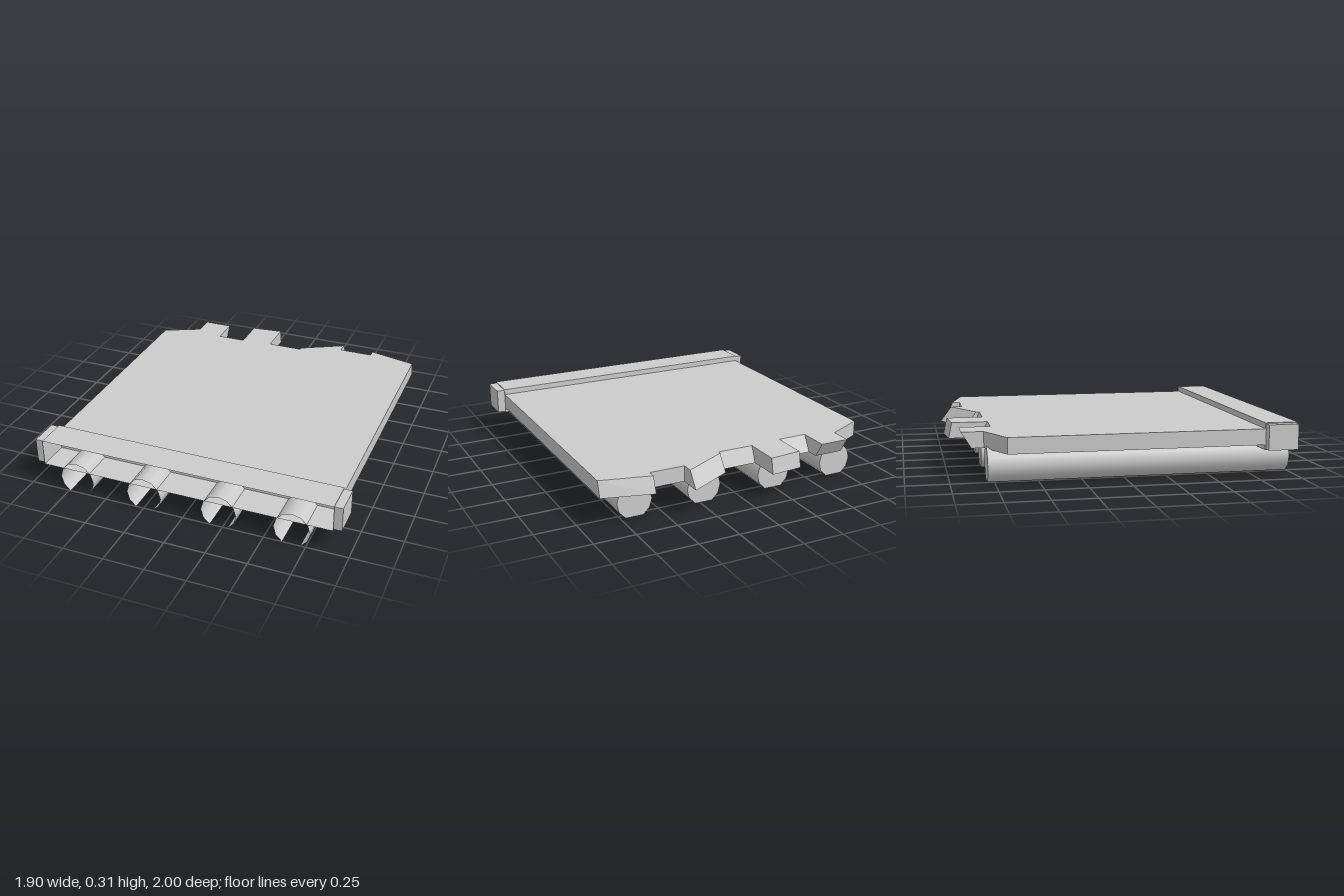
import * as THREE from 'three';

const grey = new THREE.MeshStandardMaterial({ color: 0xcccccc, side: THREE.DoubleSide });
const flat = new THREE.MeshStandardMaterial({ color: 0xcccccc, flatShading: true, side: THREE.DoubleSide });

function add(parent, name, geometry, material, x = 0, y = 0, z = 0) {
  const mesh = new THREE.Mesh(geometry, material);
  mesh.name = name;
  mesh.position.set(x, y, z);
  parent.add(mesh);
  return mesh;
}

// Deck with a broken back edge; each corner is [x, z at the top, z at the bottom]
function deckGeometry(bottom, top) {
  const corners = [
    [-0.9, 0.81, 0.81], [-0.9, -0.69, -0.69], [-0.67, -0.8, -0.8],
    [-0.67, -0.93, -0.87], [-0.49, -0.93, -0.87],
    [-0.49, -0.745, -0.8], [-0.31, -0.745, -0.8],
    [-0.31, -0.96, -0.98], [-0.11, -0.98, -1],
    [-0.11, -0.76, -0.8], [0.115, -0.76, -0.8],
    [0.115, -0.78, -0.85], [0.385, -0.925, -0.995],
    [0.385, -0.855, -0.855], [0.6, -0.855, -0.855],
    [0.6, -0.905, -0.94], [0.9, -0.83, -0.86], [0.9, 0.81, 0.81],
  ];
  const shape = new THREE.Shape(corners.map(([x, z]) => new THREE.Vector2(x, -z)));
  const g = new THREE.ExtrudeGeometry(shape, { depth: top - bottom, bevelEnabled: false });
  g.rotateX(-Math.PI / 2).translate(0, bottom, 0);
  // Slant the break by moving the lower corners
  const p = g.attributes.position;
  for (let i = 0; i < p.count; i++) {
    if (p.getY(i) > bottom + 0.01) continue;
    const c = corners.find(([x, z]) => Math.abs(x - p.getX(i)) < 1e-4 && Math.abs(z - p.getZ(i)) < 1e-4);
    if (c) p.setZ(i, c[2]);
  }
  g.computeVertexNormals();
  return g;
}

// Box without its +z face
function openBox(w, h, d) {
  const g = new THREE.BoxGeometry(w, h, d);
  const index = Array.from(g.index.array);
  index.splice(24, 6);
  g.setIndex(index);
  g.clearGroups();
  return g;
}

export function createModel() {
  const model = new THREE.Group();
  model.name = 'brokenDeck';

  add(model, 'deck', deckGeometry(0.185, 0.28), flat);

  // Hollow front beam with an end block on each side
  add(model, 'frontBeam', openBox(1.8, 0.16, 0.195), flat, 0, 0.235, 0.9025);
  for (const side of [-1, 1]) {
    add(model, 'beamEnd', new THREE.BoxGeometry(0.05, 0.15, 0.18), flat, side * 0.925, 0.235, 0.9);
  }

  // Log shells: open below and at the front, closed at the back
  const r = 0.108, length = 1.79, step = Math.PI / 6;
  const shell = new THREE.CylinderGeometry(r, r, length, 10, 1, true, step, 10 * step);
  shell.rotateX(Math.PI / 2);
  const rim = [];
  for (let i = 0; i <= 10; i++) {
    const a = -Math.PI / 2 + step * (i + 1);
    rim.push(new THREE.Vector2(r * Math.cos(a), r * Math.sin(a)));
  }
  const cap = new THREE.ShapeGeometry(new THREE.Shape(rim));
  cap.rotateY(Math.PI);
  for (const x of [-0.685, -0.245, 0.225, 0.665]) {
    const log = new THREE.Group();
    log.name = 'log';
    log.position.set(x, r * Math.cos(step), 1 - length / 2);
    add(log, 'logShell', shell, grey);
    add(log, 'logEnd', cap, grey, 0, 0, -length / 2);
    model.add(log);
  }
  return model;
}
